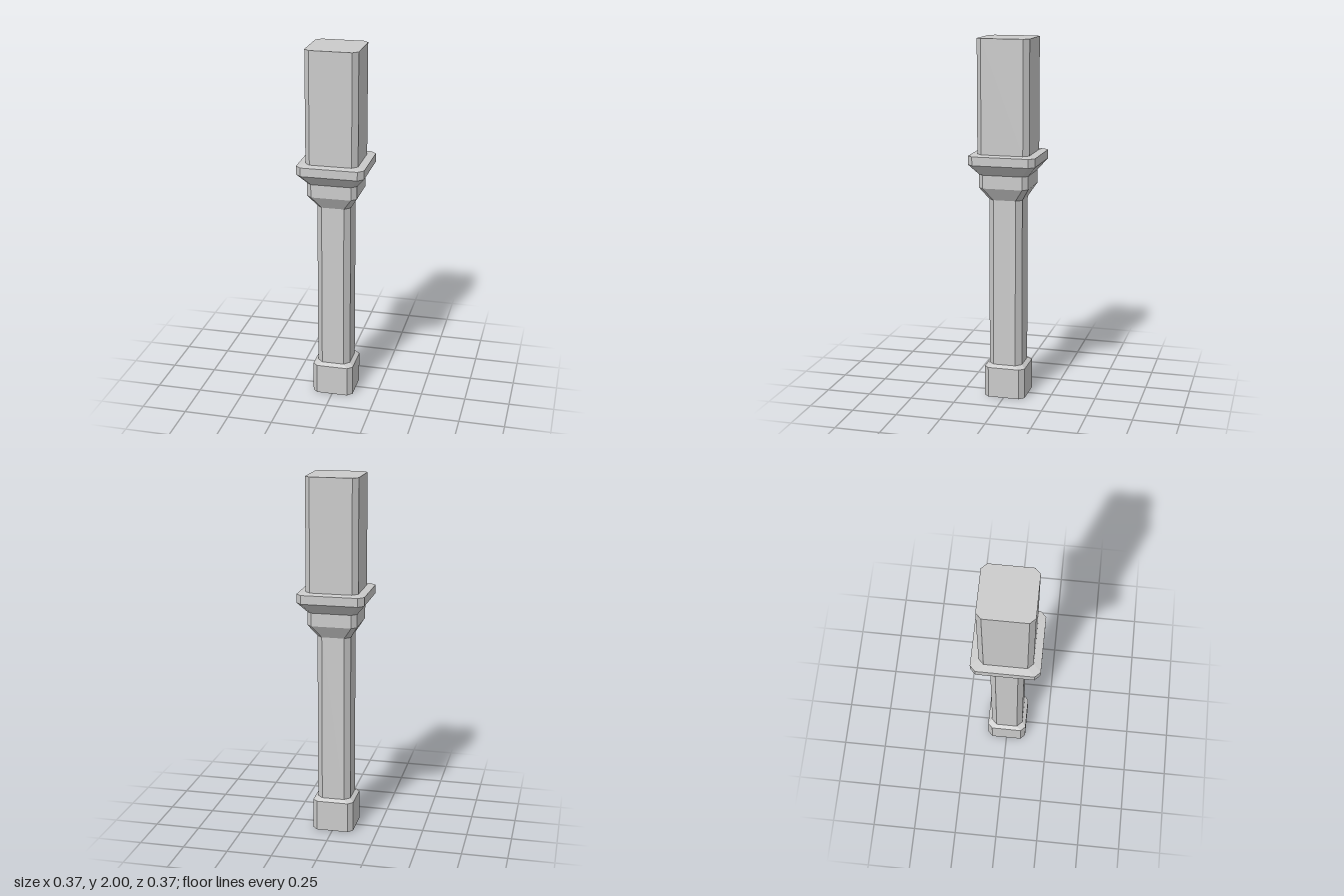
import * as THREE from 'three';

const material = new THREE.MeshStandardMaterial({
  color: 0xcccccc, flatShading: true, side: THREE.DoubleSide,
});

// Square with cut corners: h = half width, f = half length of the flat side
const section = ([y, h, f]) => [
  [h, -f], [h, f], [f, h], [-f, h], [-h, f], [-h, -f], [-f, -h], [f, -h],
].map(([x, z]) => [x, y, z]);

// Skin a stack of sections from bottom to top, with an optional top cap
function loft(name, rows, capTop = false) {
  const rings = rows.map(section);
  const points = [];
  for (let r = 0; r < rings.length - 1; r++) {
    for (let i = 0; i < 8; i++) {
      const j = (i + 1) % 8;
      const a = rings[r][i], b = rings[r + 1][i];
      const c = rings[r + 1][j], d = rings[r][j];
      points.push(...a, ...b, ...c, ...a, ...c, ...d);
    }
  }
  if (capTop) {
    const top = rings[rings.length - 1];
    for (let i = 1; i < 7; i++) points.push(...top[0], ...top[i + 1], ...top[i]);
  }
  const geometry = new THREE.BufferGeometry();
  geometry.setAttribute('position', new THREE.Float32BufferAttribute(points, 3));
  geometry.computeVertexNormals();
  const mesh = new THREE.Mesh(geometry, material);
  mesh.name = name;
  return mesh;
}

export function createModel() {
  const group = new THREE.Group();
  group.name = 'post';
  group.add(
    // Foot block, open underneath, with a sloped shoulder
    loft('foot', [[0, 0.115, 0.088], [0.172, 0.115, 0.088], [0.187, 0.093, 0.062]]),
    // Slim lower post
    loft('lowerPost', [[0.187, 0.093, 0.062], [1.127, 0.093, 0.062]]),
    // Flared neck
    loft('neck', [[1.127, 0.093, 0.062], [1.197, 0.137, 0.11], [1.27, 0.137, 0.11]]),
    // Wide collar with a flat ledge
    loft('collar', [[1.27, 0.137, 0.11], [1.328, 0.185, 0.155],
      [1.376, 0.185, 0.155], [1.382, 0.144, 0.115]]),
    // Thick upper post
    loft('upperPost', [[1.382, 0.144, 0.115], [2, 0.144, 0.115]], true),
  );
  return group;
}
